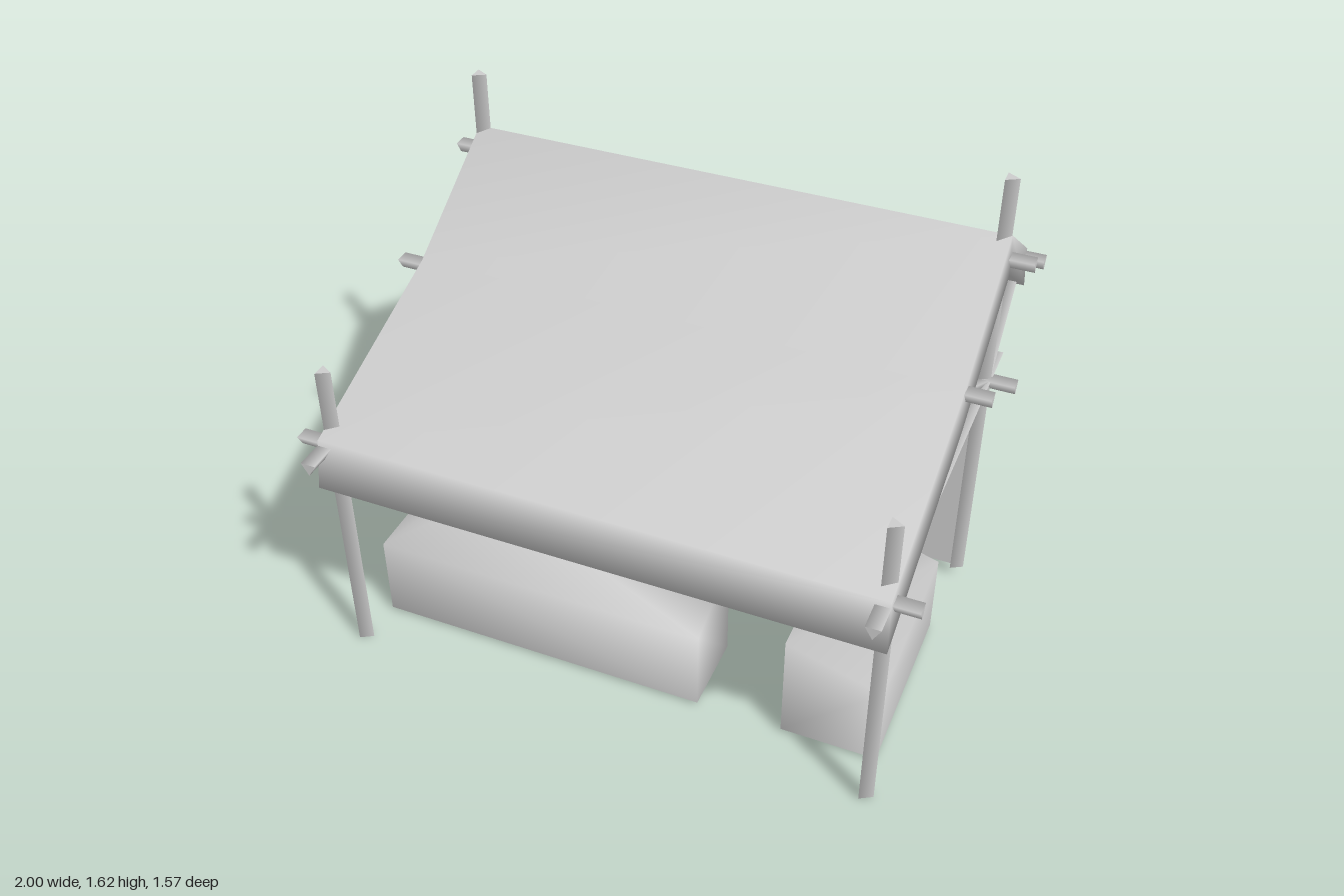
import * as THREE from 'three';

const solid = new THREE.MeshStandardMaterial({ color: 0xcccccc });
const twoSided = new THREE.MeshStandardMaterial({ color: 0xcccccc, side: THREE.DoubleSide });

function part(name, geometry, material) {
  const m = new THREE.Mesh(geometry, material);
  m.name = name;
  return m;
}

// Upright three-sided post, one edge pointing to +x
function post(name, x, z, bottom, top) {
  const g = new THREE.CylinderGeometry(0.028, 0.028, top - bottom, 3);
  g.rotateY(Math.PI / 2);
  const m = part(name, g, solid);
  m.position.set(x, (bottom + top) / 2, z);
  return m;
}

// Three-sided pole from point a to point b, one edge pointing down
function pole(name, a, b, r = 0.028) {
  const start = new THREE.Vector3(...a), end = new THREE.Vector3(...b);
  const g = new THREE.CylinderGeometry(r, r, start.distanceTo(end), 3);
  g.rotateX(Math.PI / 2);
  const m = part(name, g, solid);
  m.position.copy(start).add(end).multiplyScalar(0.5);
  m.lookAt(end);
  return m;
}

// Smooth skin over four-point cross-sections with both ends filled; underside optional
function loft(sections, underside) {
  const index = [], last = (sections.length - 1) * 4;
  for (let i = 0; i < sections.length - 1; i++) {
    for (let j = 0; j < (underside ? 4 : 3); j++) {
      const a = i * 4 + j, b = i * 4 + (j + 1) % 4, c = b + 4, d = a + 4;
      index.push(a, b, c, a, c, d);
    }
  }
  index.push(0, 3, 2, 0, 2, 1);
  index.push(last, last + 1, last + 2, last, last + 2, last + 3);
  const g = new THREE.BufferGeometry();
  g.setAttribute('position', new THREE.Float32BufferAttribute(sections.flat(2), 3));
  g.setIndex(index);
  g.computeVertexNormals();
  return g;
}

// Hollow counter, high inner edge and low outer edge: [inner x, inner z, outer x, outer z]
function counter(name, path) {
  const sections = path.map(([ix, iz, ox, oz]) => [
    [ix, 0.012, iz], [ix, 0.405, iz], [ox, 0.31, oz], [ox, 0.012, oz],
  ]);
  return part(name, loft(sections, false), twoSided);
}

export function createModel() {
  const model = new THREE.Group();

  // Posts, side beams and roof struts on both sides
  for (const s of [-1, 1]) {
    const x = s * 0.895, side = s > 0 ? 'left' : 'right';
    model.add(
      post(side + 'FrontPost', x - 0.007, 0.63, 0, 1.13),
      post(side + 'BackPost', x - 0.007, -0.442, 0.04, 1.622),
      pole(side + 'SideBeam', [x, 0.867, -0.6], [x, 0.867, 0.787]),
      pole(side + 'FrontStrut', [x, 0.86, -0.44], [x, 1.12, -0.01], 0.022),
      pole(side + 'BackStrut', [x, 0.86, -0.44], [x, 1.15, -0.74], 0.022),
    );
  }

  // Cross poles: half length, height, depth
  const crossPoles = {
    eavesPole: [1, 0.867, 0.66],
    middlePole: [1, 1.125, -0.007],
    ridgePole: [1, 1.337, -0.445],
    rearPole: [0.985, 1.163, -0.75],
    wallPole: [1, 0.867, -0.445],
  };
  for (const [name, [h, y, z]] of Object.entries(crossPoles)) {
    model.add(pole(name, [-h, y, z], [h, y, z]));
  }

  // Thick canopy from front to back: top y, top z, underside y, underside z
  const canopy = [
    [0.9, 0.692, 0.724, 0.715],
    [1.148, 0, 0.998, 0.012],
    [1.425, -0.443, 1.282, -0.443],
    [1.182, -0.782, 1.036, -0.785],
  ].map(([ty, tz, uy, uz]) => [
    [-0.925, uy, uz], [-0.917, ty, tz], [0.917, ty, tz], [0.925, uy, uz],
  ]);
  model.add(part('canopy', loft(canopy, true), twoSided));

  // Cloth back wall hung from the wall pole
  const wall = part('backWall', new THREE.PlaneGeometry(1.79, 0.825), twoSided);
  wall.position.set(0, 0.453, -0.442);
  model.add(wall);

  // Corner counter and small counter, tops sloping down outwards
  model.add(counter('cornerCounter', [
    [-0.6, -0.145, -0.88, -0.145],
    [-0.6, 0.22, -0.88, 0.493],
    [0.27, 0.22, 0.27, 0.493],
  ]));
  model.add(counter('smallCounter', [
    [0.56, 0.493, 0.88, 0.493],
    [0.56, -0.145, 0.88, -0.145],
  ]));

  return model;
}
